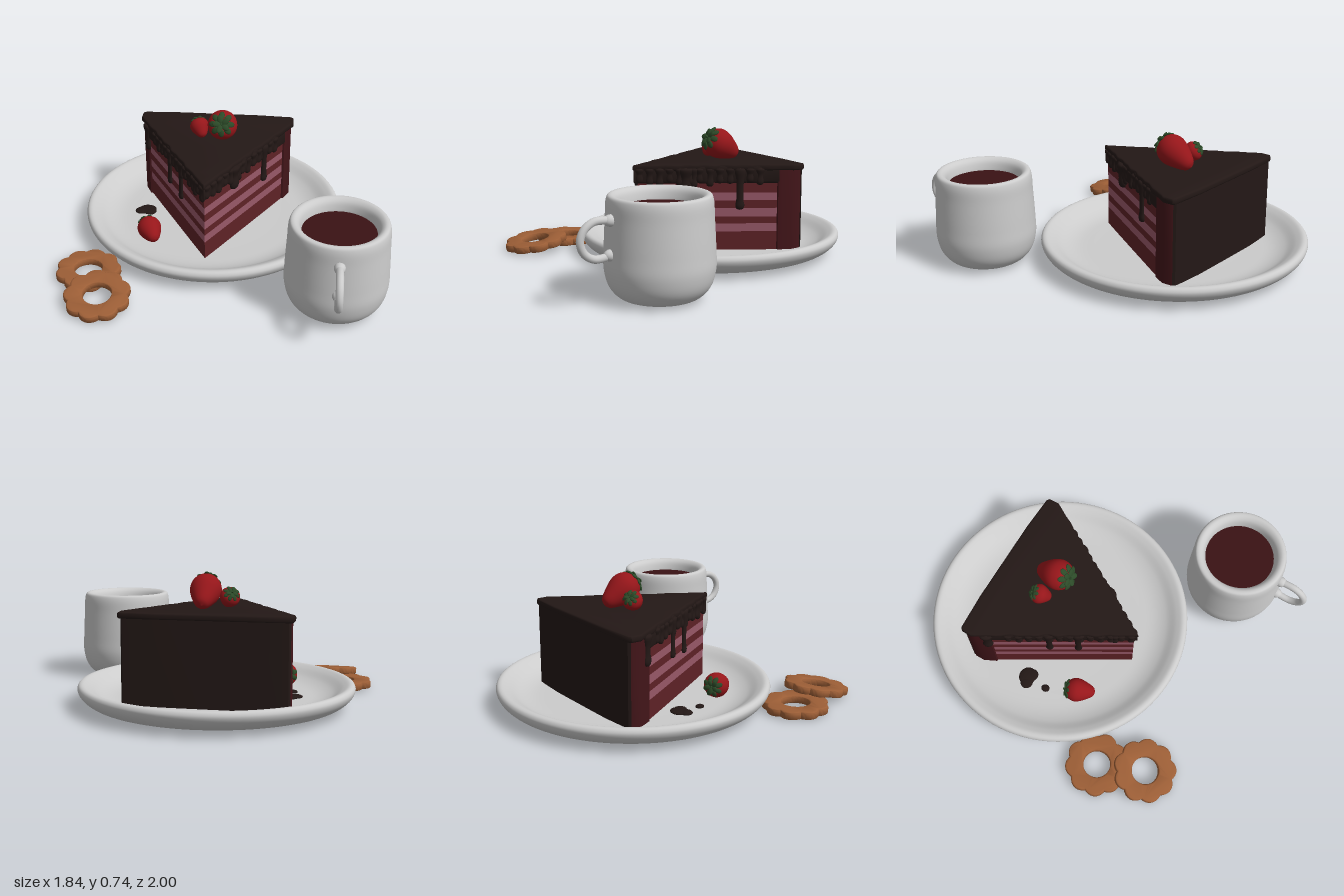
import * as THREE from 'three';
import { toCreasedNormals } from 'three/addons/utils/BufferGeometryUtils.js';

const mat = (color) => new THREE.MeshStandardMaterial({ color });
const ceramic = mat(0xcccccc), chocolate = mat(0x231816), crust = mat(0x421519), sponge = mat(0x5e2226);
const cream = mat(0x985868), berryRed = mat(0x96161a), leafGreen = mat(0x2c4a28), biscuit = mat(0x9c5e36), coffee = mat(0x3a1214);

function add(parent, name, geometry, material, x = 0, y = 0, z = 0) {
  const mesh = new THREE.Mesh(geometry, material);
  mesh.name = name;
  mesh.position.set(x, y, z);
  parent.add(mesh);
  return mesh;
}

// Revolve a smoothed profile of [radius, height] pairs
function lathe(pairs, segments = 64, samples = 48) {
  const curve = new THREE.CatmullRomCurve3(pairs.map(([r, y]) => new THREE.Vector3(r, y, 0)), false, 'centripetal');
  const pts = curve.getPoints(samples).map((p) => new THREE.Vector2(Math.max(p.x, 0), p.y));
  return new THREE.LatheGeometry(pts, segments);
}

// Upright prism from a plan outline of [x, z] pairs between two heights
function prism(outline, y0, y1, bevel = 0) {
  const shape = new THREE.Shape(outline.map(([x, z]) => new THREE.Vector2(x, -z)));
  const geo = new THREE.ExtrudeGeometry(shape, {
    depth: y1 - y0 - 2 * bevel, bevelEnabled: bevel > 0, bevelSize: bevel,
    bevelThickness: bevel, bevelOffset: -bevel, bevelSegments: 3,
  });
  geo.rotateX(-Math.PI / 2).translate(0, y0 + bevel, 0);
  return toCreasedNormals(geo, 0.7);
}

const TIP = 0.285, SLOPE = 0.585, CX = -0.095;

// Wedge plan, with wavy sides when wave > 0
function wedge(tip, back, wave = 0) {
  const side = [];
  const n = wave ? 40 : 1;
  for (let i = 1; i <= n; i++) {
    const t = i / n, z = tip + (back - tip) * t;
    const w = wave * (Math.sin(t * 31) + Math.sin(t * 53 + 1)) * Math.sin(Math.PI * t);
    side.push([SLOPE * (tip - z) + w, z]);
  }
  return [[0, tip], ...side.map(([x, z]) => [-x, z]), ...side.reverse()];
}

function makeCake() {
  const cake = new THREE.Group();
  cake.name = 'cakeSlice';
  cake.position.x = CX;

  // Alternating sponge and cream
  const levels = [0.055, 0.117, 0.163, 0.21, 0.25, 0.3, 0.345, 0.39, 0.46];
  const plan = wedge(0.265, -0.43);
  for (let i = 0; i < levels.length - 1; i++) {
    const isCream = i % 2 === 1 && i < 7 || i === 6;
    const layerCream = [2, 4, 6].includes(i) && isCream || [2, 4].includes(i);
    add(cake, layerCream ? 'creamLayer' : 'spongeLayer', prism(plan, levels[i], levels[i + 1]), layerCream ? cream : sponge);
  }

  // Outer crust and its coating at the back
  const w0 = SLOPE * (0.265 + 0.43), w1 = 0.452;
  add(cake, 'backCrust', prism([[-w0 - 0.01, -0.428], [-w1, -0.5], [-w1, -0.555], [-w1 + 0.015, -0.575],
    [w1 - 0.015, -0.575], [w1, -0.555], [w1, -0.5], [w0 + 0.01, -0.428]], 0.055, 0.535), crust);
  add(cake, 'backIcing', prism([[-0.45, -0.565], [-0.44, -0.577], [-0.25, -0.588], [0.25, -0.588],
    [0.44, -0.577], [0.45, -0.565]], 0.055, 0.54), chocolate);

  // Thick icing band and the thin top sheet
  add(cake, 'icingBand', prism(wedge(TIP, -0.432, 0.004), 0.445, 0.545, 0.012), chocolate);
  const top = wedge(TIP + 0.005, -0.51, 0.004);
  const mid = top.length / 2 | 0;
  top.splice(mid + 1, 0, [-0.466, -0.57], [-0.45, -0.582], [-0.25, -0.592], [0.25, -0.592], [0.45, -0.582], [0.466, -0.57]);
  add(cake, 'icingTop', prism(top, 0.518, 0.553, 0.01), chocolate);

  // Drips: side, distance from tip to back corner, lowest point, radius
  const drips = [[-1, 0.14, 0.42, 0.022], [-1, 0.37, 0.28, 0.022], [-1, 0.55, 0.3, 0.022], [-1, 0.93, 0.36, 0.03],
    [1, 0.33, 0.385, 0.036], [1, 0.38, 0.42, 0.022], [1, 0.67, 0.29, 0.026]];
  for (let i = 0; i < 13; i++) {
    for (const s of [-1, 1]) drips.push([s, 0.04 + i * 0.063, 0.437 + 0.012 * Math.sin(i * 2.3 + s), 0.022]);
  }
  for (const [s, t, low, r] of drips) {
    const z = TIP - 0.785 * t, x = s * SLOPE * (TIP - z);
    const high = 0.525;
    const drip = add(cake, 'icingDrip', lathe([[0, 0], [r * 0.75, r * 0.3], [r, r], [r * 0.8, r * 2.2],
      [r * 0.85, (high - low) * 0.7], [r * 1.2, high - low], [0, high - low + 0.01]], 14, 20), chocolate, x - s * 0.006, low, z);
    drip.rotation.y = s * Math.atan(SLOPE);
    drip.scale.x = 0.7;
    drip.rotation.y = -s * Math.atan(SLOPE);
  }
  return cake;
}

// Strawberry with its leafy end pointing along dir
function makeStrawberry(x, y, z, radius, length, dir) {
  const berry = new THREE.Group();
  berry.name = 'strawberry';
  const r = radius, h = length / 2;
  add(berry, 'berryBody', lathe([[0, -h], [r * 0.36, -h * 0.88], [r * 0.72, -h * 0.4], [r * 0.97, h * 0.15],
    [r * 0.95, h * 0.5], [r * 0.65, h * 0.86], [0, h * 0.96]], 32, 28), berryRed);
  for (let ring = 0; ring < 2; ring++) {
    const n = ring ? 5 : 8;
    for (let i = 0; i < n; i++) {
      const pivot = new THREE.Group();
      pivot.name = 'leafPivot';
      pivot.rotation.y = (i + ring * 0.5) / n * Math.PI * 2;
      const leaf = add(pivot, 'leaf', new THREE.SphereGeometry(1, 12, 8), leafGreen,
        r * (ring ? 0.32 : 0.58), h * (ring ? 1.02 : 0.92), 0);
      leaf.scale.set(r * 0.3, r * 0.09, r * 0.2);
      leaf.rotation.z = ring ? 0.15 : -0.5;
      berry.add(pivot);
    }
  }
  add(berry, 'stem', new THREE.CylinderGeometry(r * 0.06, r * 0.09, r * 0.25, 8), leafGreen, 0, h + r * 0.08, 0);
  berry.position.set(x, y, z);
  berry.quaternion.setFromUnitVectors(new THREE.Vector3(0, 1, 0), new THREE.Vector3(...dir).normalize());
  return berry;
}

// Ring biscuit with a scalloped rim
function makeBiscuit(x, y, z, tilt, turn) {
  const pts = [];
  for (let i = 0; i < 108; i++) {
    const a = i / 108 * Math.PI * 2;
    const r = 0.163 + 0.021 * Math.pow(Math.abs(Math.cos(a * 4.5)), 0.9);
    pts.push(new THREE.Vector2(Math.cos(a) * r, Math.sin(a) * r));
  }
  const shape = new THREE.Shape(pts);
  shape.holes.push(new THREE.Path().absarc(0, 0, 0.078, 0, Math.PI * 2, true));
  const geo = new THREE.ExtrudeGeometry(shape, { depth: 0.024, bevelSize: 0.01, bevelThickness: 0.01,
    bevelOffset: -0.01, bevelSegments: 3, curveSegments: 32 });
  geo.translate(0, 0, -0.012).rotateX(-Math.PI / 2).rotateY(turn);
  const mesh = new THREE.Mesh(toCreasedNormals(geo, 0.8), biscuit);
  mesh.name = 'biscuit';
  mesh.position.set(x, y, z);
  mesh.rotation.x = tilt;
  return mesh;
}

function makeCup() {
  const cup = new THREE.Group();
  cup.name = 'cup';
  cup.position.set(0.64, 0, 0.545);
  add(cup, 'cupBody', lathe([[0, 0.004], [0.14, 0.005], [0.205, 0.022], [0.255, 0.075], [0.279, 0.16], [0.278, 0.26],
    [0.27, 0.42], [0.265, 0.505], [0.255, 0.53], [0.235, 0.533], [0.212, 0.515], [0.198, 0.47], [0.19, 0.4], [0, 0.39]], 64, 70), ceramic);
  const drink = add(cup, 'drink', new THREE.CircleGeometry(0.198, 48), coffee, 0, 0.465, 0);
  drink.rotation.x = -Math.PI / 2;
  const path = new THREE.CatmullRomCurve3([[0.25, 0.425], [0.3, 0.432], [0.365, 0.43], [0.415, 0.395], [0.435, 0.34],
    [0.415, 0.283], [0.365, 0.25], [0.31, 0.25], [0.255, 0.265]].map(([z, y]) => new THREE.Vector3(0, y, z)));
  add(cup, 'handle', new THREE.TubeGeometry(path, 48, 0.02, 14), ceramic);
  // Flared joints where the handle meets the wall
  for (const y of [0.428, 0.258]) {
    add(cup, 'handleJoint', new THREE.SphereGeometry(1, 20, 14), ceramic, 0, y, 0.272).scale.set(0.03, 0.03, 0.04);
  }
  return cup;
}

export function createModel() {
  const model = new THREE.Group();
  model.name = 'cakeAndCoffee';

  add(model, 'plate', lathe([[0, 0.01], [0.5, 0.01], [0.6, 0.015], [0.7, 0.038], [0.752, 0.08], [0.765, 0.115], [0.755, 0.135],
    [0.735, 0.14], [0.7, 0.125], [0.64, 0.085], [0.57, 0.062], [0.45, 0.056], [0, 0.056]], 96, 80), ceramic, CX, 0, -0.235);

  model.add(makeCake(), makeCup());
  model.add(
    makeStrawberry(-0.04, 0.63, -0.285, 0.088, 0.235, [0, 0.5, 0.9]),
    makeStrawberry(-0.175, 0.604, -0.285, 0.056, 0.12, [-0.35, 0.55, -0.65]),
    makeStrawberry(-0.43, 0.122, 0.105, 0.07, 0.175, [-0.4, 0.12, -0.85]),
  );

  // Sauce spots on the plate
  for (const [x, z, rx, rz] of [[-0.5, -0.22, 0.055, 0.05], [-0.535, -0.205, 0.038, 0.036], [-0.48, -0.2, 0.036, 0.036], [-0.51, -0.09, 0.022, 0.025]]) {
    add(model, 'sauceSpot', new THREE.SphereGeometry(1, 24, 12), chocolate, x, 0.06, z).scale.set(rx, 0.012, rz);
  }

  model.add(makeBiscuit(-0.742, 0.028, 0.4, 0, 0.1), makeBiscuit(-0.638, 0.052, 0.66, 0.16, 0.4));
  return model;
}
